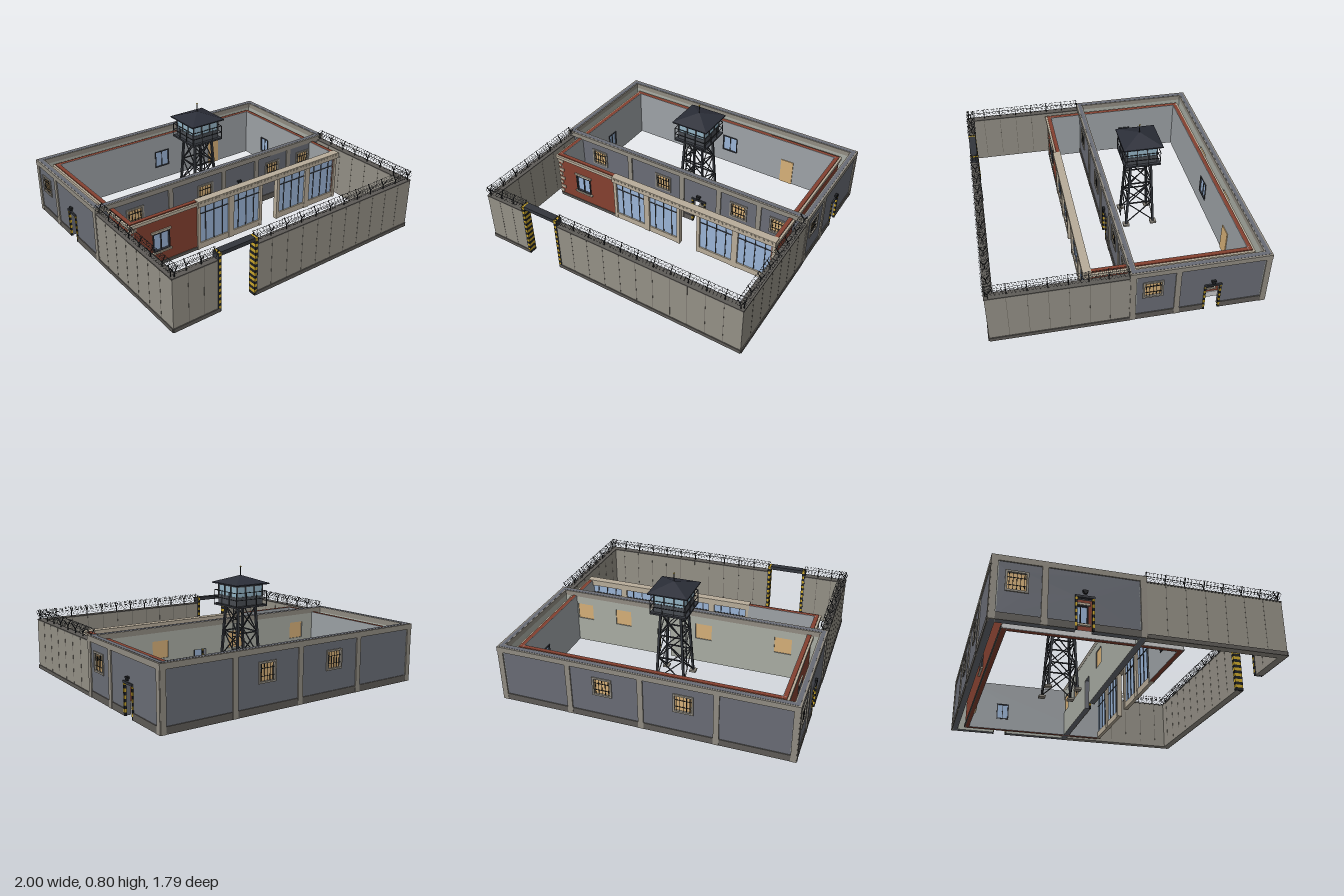
import * as THREE from 'three';
import { mergeGeometries } from 'three/addons/utils/BufferGeometryUtils.js';

const mat = (color) => new THREE.MeshStandardMaterial({ color, flatShading: true });
const M = {
  wall: mat(0x696c75), concrete: mat(0x918c82), fence: mat(0x949086), base: mat(0x5e5b57), dark: mat(0x33363c),
  brick: mat(0x84402f), beige: mat(0xb8ad9a), plaster: mat(0xa9ada4), hall: mat(0x9da2a6), glass: mat(0x9ab4d6),
  amber: mat(0xd6b078), yellow: mat(0xc9a52a), black: mat(0x1e2023), roof: mat(0x2b2e38), cabin: mat(0x484c52),
  seam: mat(0x6d6961), wire: mat(0x4a4c50), pale: mat(0xd8d8d4), cabinGlass: mat(0x93b3c4),
};
const V = (x, y, z) => new THREE.Vector3(x, y, z);

function add(parent, name, geo, m) {
  const mesh = new THREE.Mesh(geo, m);
  mesh.name = name;
  parent.add(mesh);
  return mesh;
}
function box(parent, name, m, w, h, d, x, y, z) {
  const b = add(parent, name, new THREE.BoxGeometry(w, h, d), m);
  b.position.set(x, y, z);
  return b;
}
function group(parent, name, x = 0, y = 0, z = 0, ry = 0) {
  const g = new THREE.Group();
  g.name = name;
  g.position.set(x, y, z);
  g.rotation.y = ry;
  parent.add(g);
  return g;
}
// Straight square bar between two points
function bar(parent, name, m, a, b, t) {
  const s = box(parent, name, m, t, a.distanceTo(b), t, 0, 0, 0);
  s.position.copy(a).lerp(b, 0.5);
  s.quaternion.setFromUnitVectors(V(0, 1, 0), b.clone().sub(a).normalize());
}
// Yellow and black warning post
function stripedPost(parent, x, z, h, w, d) {
  const n = Math.round(h / 0.0205);
  for (let i = 0; i < n; i++)
    box(parent, 'stripedPost', i % 2 ? M.yellow : M.black, w, h / n, d, x, (i + 0.5) * h / n, z);
}
// Window with frame, sill and optional bars; outer wall face is z = 0
function windowUnit(parent, { x, y, w, h, barred }, T) {
  const g = group(parent, barred ? 'barredWindow' : 'window', x, y, 0);
  const frame = barred ? M.concrete : M.dark, f = barred ? 0.012 : 0.007;
  const d = barred ? 0.014 : T + 0.016, z = barred ? 0 : -T / 2;
  box(g, 'pane', barred ? M.amber : M.glass, w, h, T * 0.6, 0, 0, -T * 0.6);
  for (const s of [-1, 1]) {
    box(g, 'jamb', frame, f, h + f, d, s * w / 2, 0, z);
    box(g, 'rail', frame, w + f, f, d, 0, s * h / 2, z);
  }
  if (barred) {
    for (let i = -2; i <= 2; i++) box(g, 'bar', M.black, 0.003, h, 0.003, i * w / 5.5, 0, 0);
    for (const s of [-1, 1]) box(g, 'crossBar', M.black, w, 0.003, 0.003, 0, s * h / 5, 0);
  } else {
    box(g, 'mullion', M.dark, 0.005, h, T + 0.004, 0, 0, -T / 2);
    box(g, 'sill', M.beige, w + 0.03, 0.012, 0.024, 0, -h / 2 - 0.008, 0.003);
    box(g, 'lintel', M.beige, w + 0.03, 0.014, 0.018, 0, h / 2 + 0.012, 0);
  }
}
function doorUnit(parent, { x, w, h }) {
  const g = group(parent, 'doorway', x, 0, 0);
  for (const s of [-1, 1]) stripedPost(g, s * w / 2, 0, h, 0.013, 0.014);
  box(g, 'doorLintel', M.dark, w + 0.014, 0.014, 0.02, 0, h, 0);
  box(g, 'lampBack', M.black, 0.03, 0.012, 0.016, 0, h + 0.035, 0.008);
  box(g, 'lamp', M.black, 0.02, 0.016, 0.012, 0, h + 0.025, 0.01);
}
// Wall along local x with its outer face on z = 0, notched for doors and pierced for windows
function wall(parent, name, place, { L, H, T, m, inner, windows = [], doors = [], plinth, plinthMat = M.base }) {
  const g = group(parent, name, ...place);
  const pts = [[-L / 2, 0]];
  for (const d of doors)
    pts.push([d.x - d.w / 2, 0], [d.x - d.w / 2, d.h], [d.x + d.w / 2, d.h], [d.x + d.w / 2, 0]);
  pts.push([L / 2, 0], [L / 2, H], [-L / 2, H]);
  const shape = new THREE.Shape(pts.map((p) => new THREE.Vector2(...p)));
  for (const { x, y, w, h } of windows) {
    const c = [[-1, -1], [-1, 1], [1, 1], [1, -1]].map(([a, b]) => new THREE.Vector2(x + a * w / 2, y + b * h / 2));
    shape.holes.push(new THREE.Path(c));
  }
  const layer = (n, depth, z, mm) =>
    add(g, n, new THREE.ExtrudeGeometry(shape, { depth, bevelEnabled: false }).translate(0, 0, z), mm);
  layer('wallBody', T, -T, m);
  if (inner) layer('innerPlaster', 0.003, -T - 0.003, inner);
  windows.forEach((w) => windowUnit(g, w, T));
  doors.forEach((d) => doorUnit(g, d));
  const e = [-L / 2, ...doors.flatMap((d) => [d.x - d.w / 2, d.x + d.w / 2]), L / 2];
  for (let i = 0; i < e.length; i += 2)
    box(g, 'plinth', plinthMat, e[i + 1] - e[i], plinth, 0.008, (e[i] + e[i + 1]) / 2, plinth / 2, 0.002);
  return g;
}
// Concrete pilasters and parapet beam of the cell block
function concreteFrame(g, L, xs) {
  box(g, 'parapet', M.concrete, L + 0.016, 0.036, 0.046, 0, 0.382, -0.015);
  box(g, 'parapetTop', M.wall, L - 0.012, 0.002, 0.026, 0, 0.4005, -0.017);
  for (const x of [...xs, -L / 2 + 0.014, L / 2 - 0.014]) box(g, 'pilaster', M.concrete, 0.036, 0.38, 0.012, x, 0.19, 0.002);
}
// Barbed wire along local x: forked pickets, strands and two coils
function barbedWire(parent, L, place) {
  const g = group(parent, 'barbedWire', ...place);
  const n = Math.max(2, Math.round(L / 0.122));
  for (let i = 0; i <= n; i++) {
    const x = -L / 2 + 0.008 + (L - 0.016) * i / n;
    bar(g, 'picket', M.black, V(x, 0.36, 0), V(x, 0.4, 0), 0.005);
    for (const s of [-1, 1]) bar(g, 'picketArm', M.black, V(x, 0.395, 0), V(x, 0.434, s * 0.024), 0.004);
  }
  for (const [y, z] of [[0.43, 0.022], [0.43, -0.022], [0.412, 0.011], [0.412, -0.011]])
    bar(g, 'strand', M.wire, V(-L / 2, y, z), V(L / 2, y, z), 0.0014);
  const coils = [0, Math.PI].map((phase) => {
    const turns = Math.round(L / 0.05), p = [];
    for (let i = 0; i <= turns * 9; i++) {
      const a = i / 9 * Math.PI * 2 + phase;
      p.push(V(-L / 2 + L * i / (turns * 9), 0.412 + 0.03 * Math.sin(a), 0.031 * Math.cos(a)));
    }
    return new THREE.TubeGeometry(new THREE.CatmullRomCurve3(p), turns * 14, 0.0009, 3);
  });
  add(g, 'razorCoil', mergeGeometries(coils), M.wire);
}
function fenceWall(parent, L, place) {
  const g = wall(parent, 'yardWall', place, { L, H: 0.362, T: 0.046, m: M.fence, plinth: 0.026 });
  box(g, 'coping', M.base, L, 0.008, 0.052, 0, 0.364, -0.023);
  const n = Math.round(L / 0.123);
  for (let i = 1; i < n; i++)
    for (const z of [0, -0.046]) box(g, 'panelSeam', M.seam, 0.003, 0.335, 0.002, -L / 2 + L * i / n, 0.193, z);
  barbedWire(g, L, [0, 0, -0.023]);
}

function cellBlock(root) {
  const g = group(root, 'cellBlock', 0, 0, -0.447);
  const W = 1.964, D = 0.892, Q = Math.PI / 2;
  const base = { H: 0.375, T: 0.034, m: M.wall, inner: M.plaster, plinth: 0.045 };
  const win = (x) => ({ x, y: 0.247, w: 0.12, h: 0.12, barred: true });
  const door = (x) => ({ x, w: 0.1, h: 0.208 });
  concreteFrame(wall(g, 'frontWall', [0, 0, D / 2], { ...base, L: W, windows: [-0.7, -0.13, 0.485, 0.79].map(win), doors: [door(0.17)] }), W, [-0.42, 0.03, 0.33, 0.64]);
  concreteFrame(wall(g, 'backWall', [0, 0, -D / 2, Math.PI], { ...base, L: W, windows: [-0.257, 0.28].map(win) }), W, [-0.49, 0, 0.49]);
  for (const s of [-1, 1])
    concreteFrame(wall(g, 'sideWall', [s * W / 2, 0, 0, s * Q], { ...base, L: D, windows: [win(-0.305)], doors: [door(0.083)] }), D, [-0.147]);
}

function brickHall(root) {
  const g = group(root, 'brickHall'), Q = Math.PI / 2;
  const base = { H: 0.37, T: 0.026, m: M.brick, inner: M.hall, plinth: 0.022 };
  const win = (x) => ({ x, y: 0.175, w: 0.12, h: 0.13 });
  const cornice = (w, L) => box(w, 'cornice', M.beige, L, 0.022, 0.018, 0, 0.352, 0.006);
  cornice(wall(g, 'brickFront', [-0.633, 0, 0.257], { ...base, L: 0.508, windows: [win(-0.03)] }), 0.53);
  cornice(wall(g, 'brickBack', [0, 0, -0.807, Math.PI], { ...base, L: 1.774, windows: [win(0)] }), 1.79);
  box(g, 'innerDoor', M.amber, 0.1, 0.2, 0.01, 0.5, 0.1, -0.777);
  for (const s of [-1, 1])
    cornice(wall(g, 'brickSide', [s * 0.887, 0, -0.275, s * Q],
      { ...base, L: 1.064, windows: [{ ...win(0.255 * (s > 0 ? 1 : -0.35)), y: 0.145, h: 0.115, w: 0.085 }], plinth: 0.045, plinthMat: M.pale }), 1.08);
  // Corner stones
  for (let i = 0; i < 8; i++) {
    const w = i % 2 ? 0.05 : 0.03;
    box(g, 'quoin', M.beige, w, 0.022, 0.024, -0.892 + w / 2, 0.045 + i * 0.039, 0.25);
  }
  // Glazed shop front
  const x0 = -0.38, x1 = 0.89, z = 0.25, s = group(g, 'glazedFront');
  box(s, 'fascia', M.beige, x1 - x0 + 0.01, 0.036, 0.052, (x0 + x1) / 2, 0.348, 0.254);
  box(s, 'fasciaLip', M.beige, x1 - x0 + 0.01, 0.008, 0.055, (x0 + x1) / 2, 0.37, 0.254);
  for (let x = x0 + 0.02; x < x1; x += 0.03) box(s, 'dentil', M.beige, 0.012, 0.01, 0.006, x, 0.36, 0.281);
  for (const [a, b] of [[x0, -0.1], [-0.1, 0.17], [0.31, 0.6], [0.6, x1]]) {
    const c = (a + b) / 2, w = b - a;
    box(s, 'glass', M.glass, w, 0.29, 0.006, c, 0.185, z);
    box(s, 'stallRiser', M.beige, w, 0.045, 0.026, c, 0.0225, z);
    box(s, 'transom', M.dark, w, 0.006, 0.014, c, 0.265, z);
    for (let i = 1; i < 4; i++) box(s, 'mullion', M.dark, 0.006, 0.29, 0.014, a + w * i / 4, 0.185, z);
    for (const x of [a + 0.01, b - 0.01]) box(s, 'pier', M.beige, 0.024, 0.335, 0.034, x, 0.1675, z);
  }
}

function yard(root) {
  const g = group(root, 'yard'), Q = Math.PI / 2;
  fenceWall(g, 0.325, [-0.8225, 0, 0.883]);
  fenceWall(g, 1.375, [0.2975, 0, 0.883]);
  for (const s of [-1, 1]) fenceWall(g, 0.882, [s * 0.985, 0, 0.441, s * Q]);
  // Gate
  const gate = group(g, 'gate', -0.525, 0, 0.86);
  for (const s of [-1, 1]) {
    stripedPost(gate, s * 0.135, 0, 0.41, 0.018, 0.054);
    box(gate, 'postCheek', M.dark, 0.004, 0.412, 0.055, s * 0.146, 0.206, 0);
  }
  box(gate, 'gateBeam', M.dark, 0.252, 0.026, 0.05, 0, 0.401, 0);
}

function watchtower(root) {
  const g = group(root, 'watchtower', 0, 0, -0.275);
  const at = (y) => 0.1 - 0.03 * y / 0.54;
  const levels = [0.02, 0.19, 0.36, 0.53];
  for (let k = 0; k < 4; k++) {
    const side = group(g, 'towerSide', 0, 0, 0, k * Math.PI / 2);
    bar(side, 'leg', M.dark, V(at(0), 0.01, at(0)), V(at(0.54), 0.54, at(0.54)), 0.015);
    box(side, 'foot', M.concrete, 0.045, 0.014, 0.045, at(0), 0.007, at(0));
    for (let i = 0; i < 3; i++) {
      const [y0, y1] = [levels[i], levels[i + 1]], a = at(y0), b = at(y1);
      for (const s of [-1, 1]) bar(side, 'brace', M.dark, V(-s * a, y0, a), V(s * b, y1, b), 0.006);
      bar(side, 'girt', M.dark, V(-b, y1, b), V(b, y1, b), 0.008);
    }
    // Balcony rail
    for (const y of [0.59, 0.637]) bar(side, 'rail', M.dark, V(-0.124, y, 0.124), V(0.124, y, 0.124), 0.004);
    for (let i = 0; i < 4; i++) box(side, 'railPost', M.dark, 0.004, 0.09, 0.004, -0.124 + i * 0.0827, 0.592, 0.124);
    // Cabin window posts
    for (const x of [-0.104, -0.035, 0.035]) box(side, 'windowPost', M.cabin, 0.007, 0.08, 0.007, x, 0.64, 0.104);
  }
  box(g, 'platform', M.dark, 0.255, 0.012, 0.255, 0, 0.542, 0);
  box(g, 'cabinWall', M.cabin, 0.212, 0.064, 0.212, 0, 0.575, 0);
  box(g, 'cabinGlass', M.cabinGlass, 0.204, 0.075, 0.204, 0, 0.642, 0);
  box(g, 'cabinHead', M.cabin, 0.212, 0.014, 0.212, 0, 0.679, 0);
  box(g, 'eave', M.roof, 0.275, 0.008, 0.275, 0, 0.687, 0);
  add(g, 'roof', new THREE.ConeGeometry(0.275 / Math.SQRT2, 0.05, 4).rotateY(Math.PI / 4).translate(0, 0.715, 0), M.roof);
  box(g, 'antenna', M.black, 0.004, 0.065, 0.004, 0, 0.765, 0);
  box(g, 'antennaTip', M.yellow, 0.009, 0.006, 0.009, 0, 0.797, 0);
  // Ladder on the front
  for (const x of [-0.045, -0.01]) bar(g, 'ladderRail', M.cabin, V(x, 0, 0.118), V(x, 0.54, 0.088), 0.005);
  for (let i = 1; i < 18; i++) box(g, 'rung', M.cabin, 0.035, 0.004, 0.004, -0.0275, i * 0.03, 0.118 - i * 0.00167);
}

export function createModel() {
  const root = new THREE.Group();
  root.name = 'walledCompound';
  cellBlock(root);
  brickHall(root);
  yard(root);
  watchtower(root);
  return root;
}
